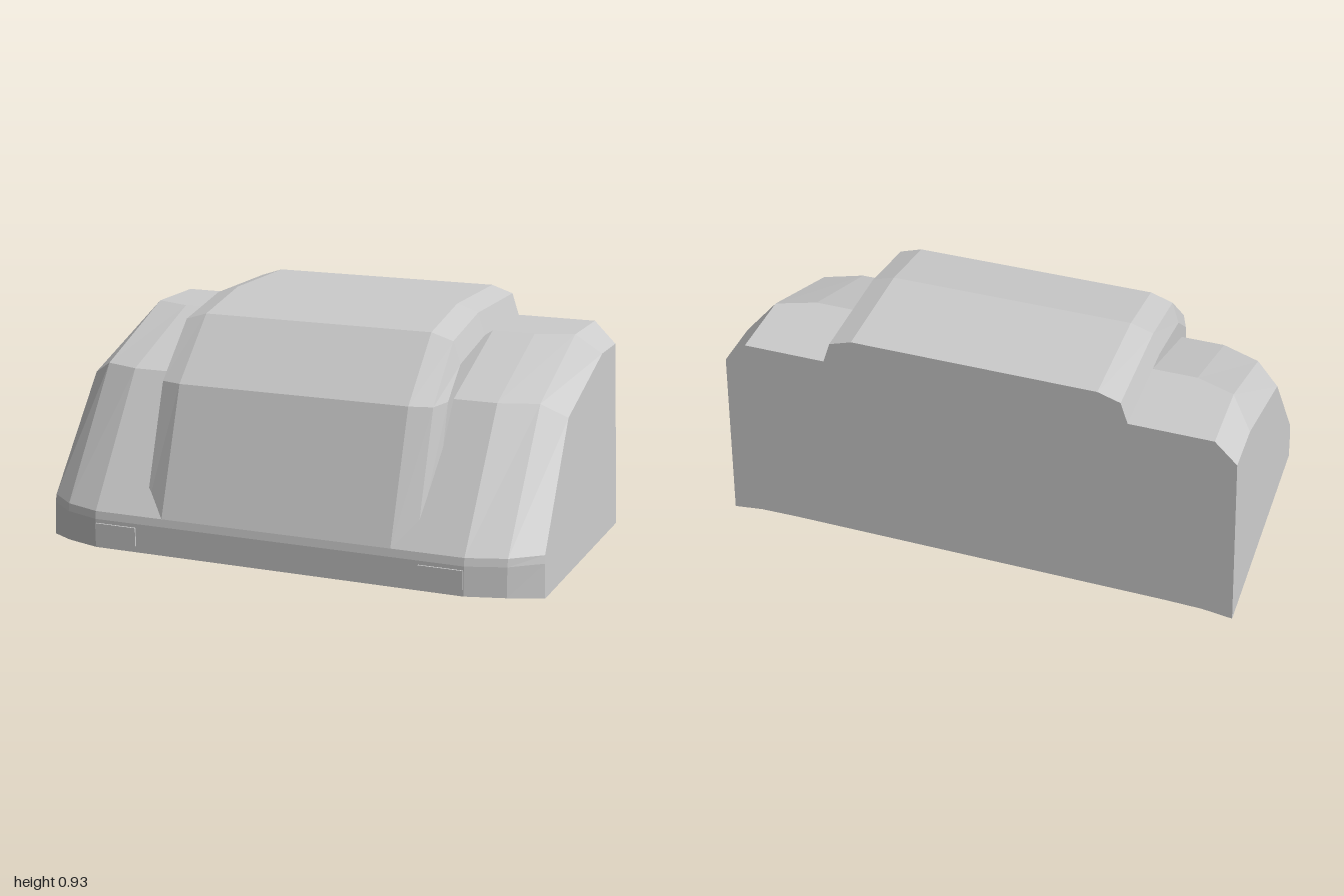
import * as THREE from 'three';

// Closed flat-shaded loft: rings of [x, y, z] corners running up the front, over the top and down the back
function loft(rings) {
  const pos = [];
  const tri = (a, b, c) => pos.push(...a, ...b, ...c);
  const n = rings[0].length;
  for (let i = 0; i < rings.length - 1; i++) {
    for (let j = 0; j < n; j++) {
      const k = (j + 1) % n;
      const a = rings[i][j], b = rings[i][k], c = rings[i + 1][k], d = rings[i + 1][j];
      tri(a, d, c);
      tri(a, c, b);
    }
  }
  // End caps
  const first = rings[0], last = rings[rings.length - 1];
  for (let j = 1; j < n - 1; j++) {
    tri(first[0], first[j], first[j + 1]);
    tri(last[0], last[j + 1], last[j]);
  }
  const g = new THREE.BufferGeometry();
  g.setAttribute('position', new THREE.Float32BufferAttribute(pos, 3));
  g.computeVertexNormals();
  return g;
}

// Ring from a [z, y] side profile; x is a number or a function of height
const ring = (x, profile) =>
  profile.map(([z, y]) => [typeof x === 'function' ? x(y) : x, y, z]);

// Mirrors the right-hand rings (listed from the middle outwards) to the other side
const mirrored = (rings) => [
  ...rings.slice().reverse().map(r => r.map(([x, y, z]) => [-x, y, z])),
  ...rings,
];

export function createModel() {
  const group = new THREE.Group();
  group.name = 'vehicleNose';
  const material = new THREE.MeshStandardMaterial({ color: 0xcccccc, flatShading: true });
  const back = -0.565;

  const add = (name, geometry) => {
    const mesh = new THREE.Mesh(geometry, material);
    mesh.name = name;
    group.add(mesh);
    return mesh;
  };

  // Bumper and wings: full-width body with rounded-off corners
  const wing = [[0.56, 0.018], [0.56, 0.13], [0.555, 0.16], [0.213, 0.645],
    [-0.233, 0.815], [back, 0.815], [back, 0.018]];
  const corner = [[0.51, 0.015], [0.51, 0.13], [0.505, 0.16], [0.157, 0.643],
    [-0.287, 0.815], [back, 0.815], [back, 0.015]];
  const side = [[0.42, 0], [0.42, 0.13], [0.414, 0.16], [0.1, 0.587],
    [-0.37, 0.73], [back, 0.73], [back, 0]];
  add('wingsAndBumper', loft(mirrored([
    ring(0.74, wing),
    ring(0.885, corner),
    ring(y => 1 - 0.041 * y, side),
  ])));

  // Raised hood with bevelled edges and short side walls
  const hood = [[0.5, 0.1], [0.555, 0.16], [0.385, 0.645], [0.148, 0.872],
    [-0.138, 0.928], [back, 0.928], [back, 0.1]];
  const bevel = [[0.46, 0.1], [0.52, 0.16], [0.355, 0.643], [0.146, 0.845],
    [-0.138, 0.9], [back, 0.9], [back, 0.1]];
  const wall = [[0.38, 0.1], [0.42, 0.16], [0.275, 0.648], [0.144, 0.76],
    [-0.138, 0.815], [back, 0.815], [back, 0.1]];
  add('hood', loft(mirrored([ring(0.46, hood), ring(0.545, bevel), ring(0.573, wall)])));

  // Bumper lamps
  for (const s of [1, -1]) {
    const lamp = add(s > 0 ? 'leftBumperLamp' : 'rightBumperLamp',
      new THREE.BoxGeometry(0.17, 0.072, 0.02));
    lamp.position.set(s * 0.653, 0.079, 0.557);
  }

  return group;
}
